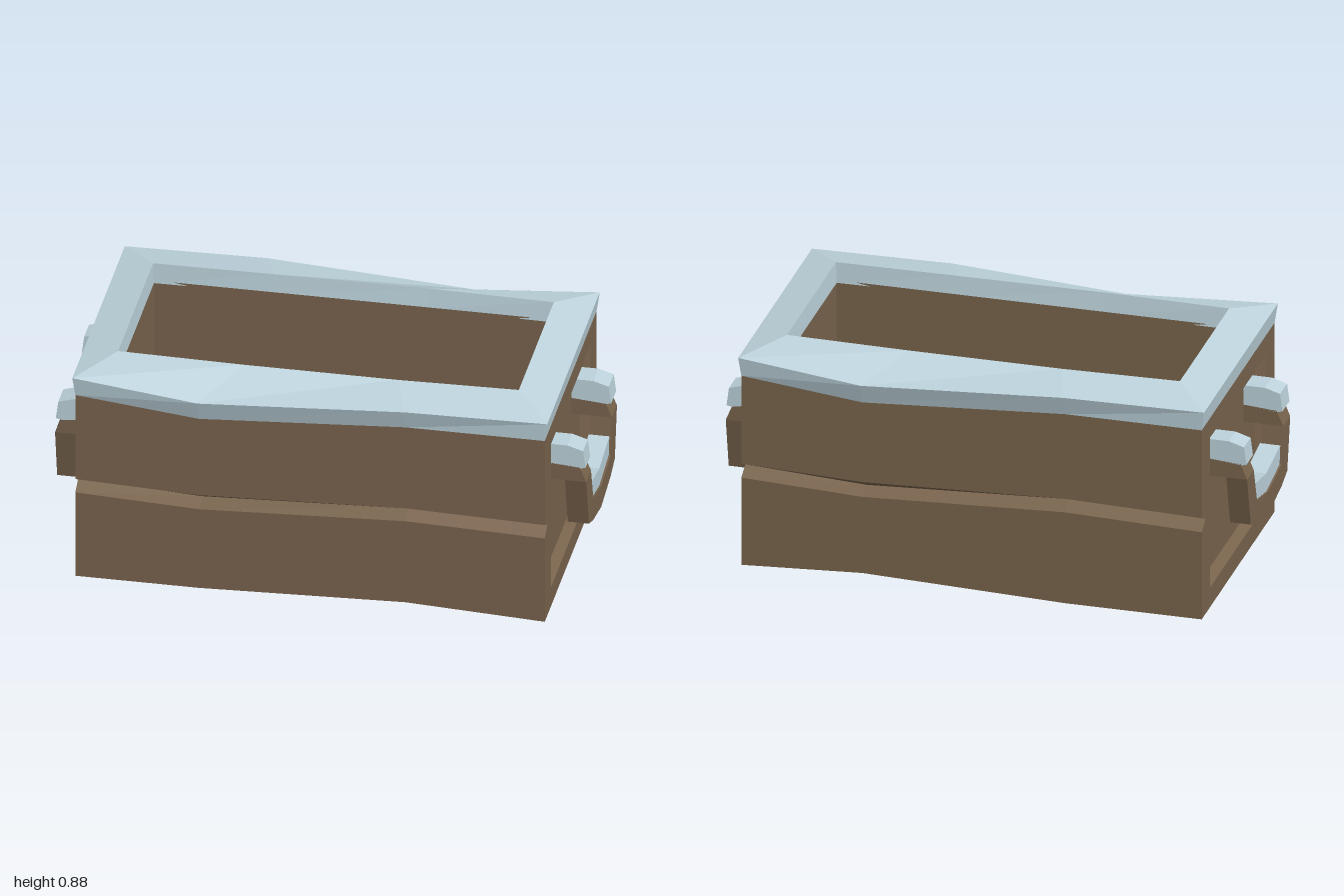
import * as THREE from 'three';

const wood = new THREE.MeshStandardMaterial({ color: 0x79644d });
wood.name = 'brown wood';
const snow = new THREE.MeshStandardMaterial({ color: 0xbdd3dc });
snow.name = 'pale snow';

function add(group, name, geometry, material) {
  const mesh = new THREE.Mesh(geometry, material);
  mesh.name = name;
  group.add(mesh);
  return mesh;
}

// Faceted surface through rows of points (rows go up, columns go left to right seen from outside)
function sheet(rows, closed = false) {
  const pos = [];
  for (let r = 0; r < rows.length - 1; r++) {
    const n = rows[r].length;
    for (let c = 0; c < (closed ? n : n - 1); c++) {
      const d = (c + 1) % n;
      const [p, q, s, t] = [rows[r][c], rows[r][d], rows[r + 1][d], rows[r + 1][c]];
      pos.push(...p, ...q, ...s, ...p, ...s, ...t);
    }
  }
  const g = new THREE.BufferGeometry();
  g.setAttribute('position', new THREE.Float32BufferAttribute(pos, 3));
  g.computeVertexNormals();
  return g;
}

const shapeOf = (pts) => new THREE.Shape(pts.map(([x, y]) => new THREE.Vector2(x, y)));
const extrude = (pts, depth) => new THREE.ExtrudeGeometry(shapeOf(pts), { depth, bevelEnabled: false });
// Full ring from its front half, turned half way round for the back
const ring = (half) => [...half, ...half.map(([x, y, z]) => [-x, y, -z])];
const rect = (x, z, y) => [[-x, y, z], [x, y, z], [x, y, -z], [-x, y, -z]];

const XS = [-0.885, -0.42, 0.36, 0.885];
const row = (ys, z) => XS.map((x, i) => [x, ys[i], z]);
const LIP = [0.77, 0.72, 0.77, 0.77];

// Long wall with a wavy V groove
function longWall(bottom) {
  return sheet([
    row(bottom, 0.495),
    row([0.355, 0.335, 0.37, 0.355], 0.495),
    row([0.385, 0.36, 0.4, 0.385], 0.44),
    row([0.412, 0.395, 0.425, 0.412], 0.495),
    row(LIP, 0.495),
  ]);
}

// End wall with notched edges and a bevelled recessed panel
function endWall(group) {
  const s = shapeOf([
    [-0.495, 0], [0.495, 0], [0.495, 0.355], [0.44, 0.385], [0.495, 0.412], [0.495, 0.775],
    [-0.495, 0.775], [-0.495, 0.412], [-0.44, 0.385], [-0.495, 0.355],
  ]);
  const frame = (w, y0, y1, x) => [[x, y0, w], [x, y0, -w], [x, y1, -w], [x, y1, w]];
  const outer = frame(0.38, 0.08, 0.69, 0.885);
  const inner = frame(0.355, 0.1, 0.67, 0.848);
  s.holes.push(new THREE.Path(outer.map(([, y, z]) => new THREE.Vector2(-z, y))));
  add(group, 'endWall', new THREE.ShapeGeometry(s).rotateY(Math.PI / 2).translate(0.885, 0, 0), wood);
  add(group, 'panelBevel', sheet([outer, inner], true), wood);
  add(group, 'recessedPanel', sheet([[inner[0], inner[1]], [inner[3], inner[2]]]), wood);
}

function handle() {
  const g = new THREE.Group();
  g.name = 'handle';
  const swing = [
    [-0.285, 0.49], [-0.235, 0.285], [-0.155, 0.255], [0, 0.225], [0.18, 0.255], [0.26, 0.285], [0.3, 0.49],
    [0.205, 0.49], [0.18, 0.345], [0, 0.315], [-0.15, 0.345], [-0.195, 0.49],
  ];
  const drift = [[-0.15, 0.345], [0, 0.315], [0.18, 0.345], [0.19, 0.418], [0, 0.388], [-0.175, 0.418]];
  add(g, 'handleLoop', extrude(swing, 0.08).rotateY(Math.PI / 2).translate(0.92, 0, 0), wood);
  add(g, 'handleSnow', extrude(drift, 0.078).rotateY(Math.PI / 2).translate(0.915, 0, 0), snow);
  // Two arms joining the loop to the panel, each with a snow cap
  for (const [z, width] of [[0.195, 0.09], [-0.3, 0.095]]) {
    add(g, 'handleArm', extrude([[0.84, 0.49], [1, 0.49], [0.975, 0.55], [0.84, 0.56]], width).translate(0, 0, z), wood);
    const cap = [[0.84, 0.558], [0.975, 0.545], [0.997, 0.55], [0.988, 0.62], [0.93, 0.638], [0.84, 0.638]];
    add(g, 'armSnow', extrude(cap, width).translate(0, 0, z), snow);
  }
  return g;
}

export function createModel() {
  const model = new THREE.Group();
  model.name = 'snowyPlanter';

  // Long walls and underside
  const frontBottom = [0, 0, 0.025, 0];
  const backBottom = [0, 0.025, 0, 0];
  add(model, 'frontWall', longWall(frontBottom), wood);
  add(model, 'backWall', longWall(backBottom), wood).rotation.y = Math.PI;
  add(model, 'underside', sheet([row(frontBottom, -0.495), row(frontBottom, 0.495)]), wood);

  // Ends with handles, turned half way round for the second one
  for (const [name, turn] of [['leftEnd', 0], ['rightEnd', Math.PI]]) {
    const end = new THREE.Group();
    end.name = name;
    endWall(end);
    end.add(handle());
    end.rotation.y = turn;
    model.add(end);
  }

  // Sagging snow rim: lip, outer shoulder, inner edge, inner drop
  const shoulder = [[-0.895, 0.845, 0.503], [-0.42, 0.797, 0.517], [0.36, 0.845, 0.515], [0.895, 0.845, 0.5]];
  const edge = [[-0.755, 0.882, 0.335], [-0.28, 0.882, 0.345], [0.3, 0.88, 0.342], [0.755, 0.882, 0.332]];
  const drop = edge.map(([x, , z]) => [x * 0.995, 0.8, z > 0.34 ? 0.335 : 0.328]);
  add(model, 'snowRim', sheet([row(LIP, 0.495), shoulder, edge, drop].map(ring), true), snow);

  // Inside walls and the snow lying at the bottom
  const floorY = 0.35;
  add(model, 'insideWalls', sheet([rect(0.752, 0.33, 0.81), rect(0.752, 0.33, floorY)], true), wood);
  const f = rect(0.752, 0.33, floorY);
  add(model, 'snowFloor', sheet([[f[0], f[1]], [f[3], f[2]]]), snow);

  return model;
}
